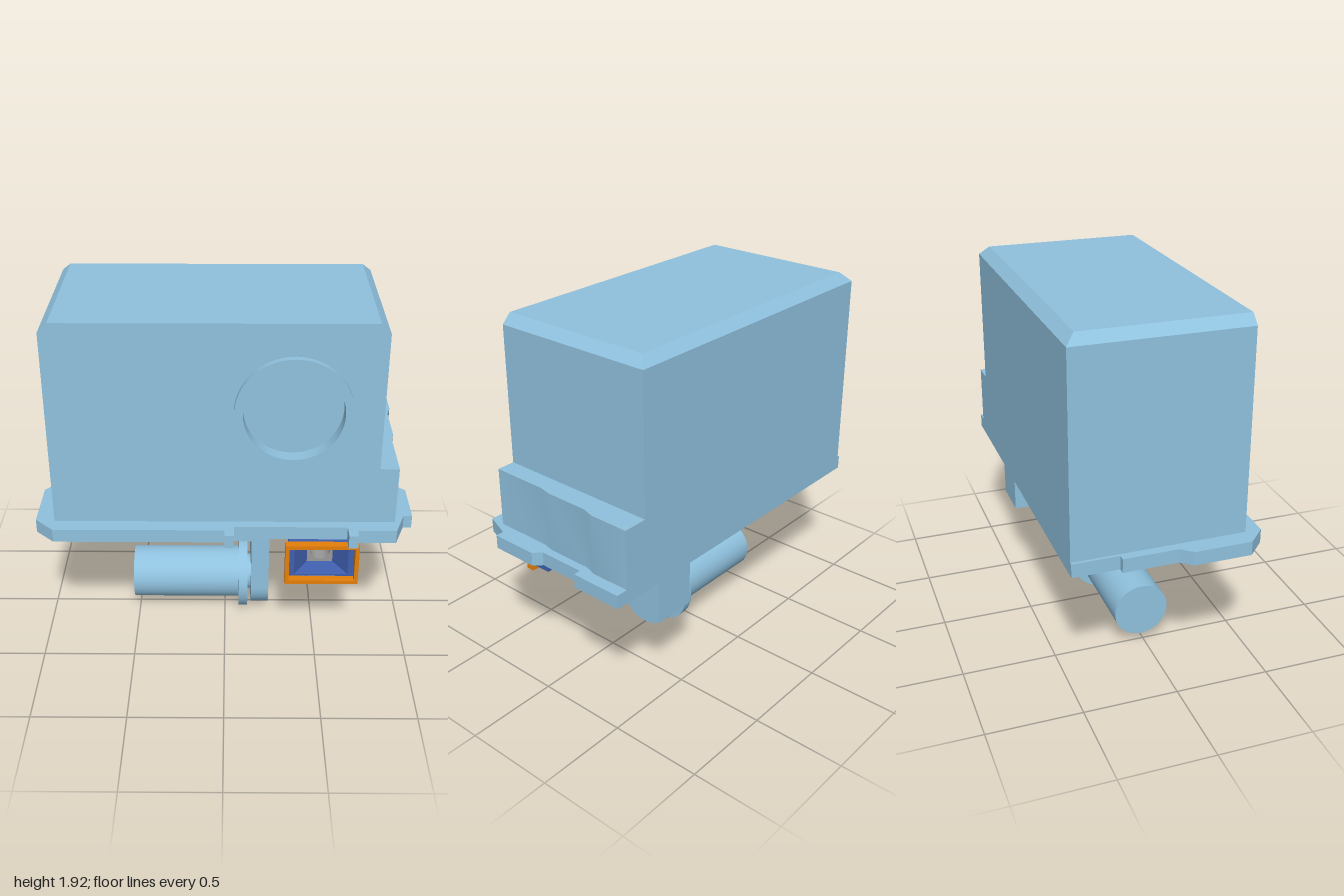
import * as THREE from 'three';
import { toCreasedNormals } from 'three/addons/utils/BufferGeometryUtils.js';

const mat = (color) => new THREE.MeshStandardMaterial({ color });

export function createModel() {
  const model = new THREE.Group();
  const shell = mat(0x8fc1de), blue = mat(0x3f5fae), orange = mat(0xe57f0a), grey = mat(0x999999);

  const add = (name, geometry, material = shell, parent = model) => {
    const mesh = new THREE.Mesh(geometry, material);
    mesh.name = name;
    parent.add(mesh);
    return mesh;
  };
  const shapeOf = (pts) => new THREE.Shape(pts.map(([x, y]) => new THREE.Vector2(x, y)));
  const extrude = (shape, depth) => toCreasedNormals(
    new THREE.ExtrudeGeometry(shape, { depth, bevelEnabled: false, curveSegments: 32 }), 0.5);
  // plan outline given as [x, z], raised from y0 to y1
  const plan = (pts, y0, y1) =>
    extrude(shapeOf(pts.map(([x, z]) => [x, -z])), y1 - y0).rotateX(-Math.PI / 2).translate(0, y0, 0);
  const box = (x0, x1, y0, y1, z0, z1) => new THREE.BoxGeometry(x1 - x0, y1 - y0, z1 - z0)
    .translate((x0 + x1) / 2, (y0 + y1) / 2, (z0 + z1) / 2);
  const rodX = (r, x0, x1, y, z) => new THREE.CylinderGeometry(r, r, x1 - x0, 48)
    .rotateZ(Math.PI / 2).translate((x0 + x1) / 2, y, z);
  const rodZ = (r, z0, z1, x, y) => new THREE.CylinderGeometry(r, r, z1 - z0, 48)
    .rotateX(Math.PI / 2).translate(x, y, (z0 + z1) / 2);
  // closed rectangular frame skinned through [halfWidth, halfHeight, z] sections
  const rectFrame = (sections, cx, cy) => {
    const corners = [[-1, -1], [1, -1], [1, 1], [-1, 1]];
    const pos = [], n = sections.length;
    const at = (i, k) => {
      const [w, h, z] = sections[i % n], [sx, sy] = corners[k % 4];
      return [cx + sx * w, cy + sy * h, z];
    };
    for (let i = 0; i < n; i++) for (let k = 0; k < 4; k++) {
      const a = at(i, k), b = at(i, k + 1), c = at(i + 1, k + 1), d = at(i + 1, k);
      pos.push(...a, ...b, ...c, ...a, ...c, ...d);
    }
    const g = new THREE.BufferGeometry();
    g.setAttribute('position', new THREE.Float32BufferAttribute(pos, 3));
    g.computeVertexNormals();
    return g;
  };

  // Housing: chamfered silhouette in three slabs, the front one with a round opening
  const X0 = -0.9, X1 = 0.8, TOP = 1.93, C = 0.05, BACK = -0.525, FRONT = 0.385;
  const RX = 0.347, RY = 1.46, RI = 0.255, FLOOR = 0.34;
  const silhouette = () => shapeOf([[X0, 0.8], [X1, 0.8], [X1, TOP - C], [X1 - C, TOP], [X0 + C, TOP], [X0, TOP - C]]);
  const housing = new THREE.Group();
  housing.name = 'housing';
  model.add(housing);
  const face = silhouette();
  face.holes.push(new THREE.Path().absarc(RX, RY, RI, 0, Math.PI * 2, true));
  add('housingFront', extrude(face, FRONT - FLOOR).translate(0, 0, FLOOR), shell, housing);
  add('housingCore', extrude(silhouette(), FLOOR - BACK - C).translate(0, 0, BACK + C), shell, housing);

  // Back slab: its rear top corners drop outward to form the rear chamfer
  const rear = new THREE.ExtrudeGeometry(silhouette(), { depth: C, bevelEnabled: false });
  const p = rear.attributes.position;
  for (let i = 0; i < p.count; i++) {
    if (p.getZ(i) < 1e-4 && p.getY(i) > TOP - C + 1e-4) {
      p.setY(i, TOP - C);
      p.setX(i, p.getX(i) > 0 ? X1 : X0);
    }
  }
  rear.computeVertexNormals();
  add('housingRear', rear.translate(0, 0, BACK), shell, housing);

  // Raised ring around the opening
  const ring = new THREE.Shape().absarc(RX, RY, 0.3, 0, Math.PI * 2);
  ring.holes.push(new THREE.Path().absarc(RX, RY, RI, 0, Math.PI * 2, true));
  add('windowRing', extrude(ring, 0.035).translate(0, 0, FRONT));

  // Lower side step
  add('sideStep', plan([[0.78, BACK], [0.935, BACK], [0.935, -0.31], [0.915, -0.24], [0.915, 0],
    [0.9, 0.07], [0.9, FRONT], [0.78, FRONT]], 0.8, 1.133));

  // Base plate with notched edges and two front tabs
  add('basePlate', plan([[-0.915, BACK], [-0.915, -0.28], [-0.95, -0.28], [-0.95, 0.01], [-1, 0.07],
    [-1, 0.375], [-0.9, 0.47], [0, 0.47], [0, 0.522], [0.05, 0.522], [0.05, 0.437], [0.647, 0.437],
    [0.647, 0.522], [0.697, 0.522], [0.697, 0.47], [0.9, 0.47], [0.955, 0.322], [1, 0.322], [1, 0.06],
    [0.96, 0.02], [0.96, -0.24], [1, -0.24], [1, BACK]], 0.735, 0.81));

  // Crank: rounded boss, hanging arm, flange and grip
  const AY = 0.205, AZ = -0.02, AR = 0.175;
  const boss = new THREE.Shape().moveTo(0.2, -AZ + AR).lineTo(-0.075, -AZ + AR)
    .absarc(-0.075, -AZ, AR, Math.PI / 2, Math.PI * 1.5).lineTo(0.2, -AZ - AR);
  add('crankBoss', extrude(boss, 0.21).rotateX(-Math.PI / 2).translate(0, 0.53, 0));
  const arm = new THREE.Shape().moveTo(-AZ - AR, 0.74).lineTo(-AZ - AR, AY)
    .absarc(-AZ, AY, AR, Math.PI, Math.PI * 2).lineTo(-AZ + AR, 0.74);
  add('crankArm', extrude(arm, 0.1).rotateY(Math.PI / 2).translate(0.15, 0, 0));
  add('crankPin', rodX(0.1, 0.12, 0.16, AY, AZ));
  add('gripFlange', rodX(0.2, 0.08, 0.13, AY, AZ));
  add('grip', rodX(0.148, -0.525, 0.09, AY, AZ));

  // Eyepiece: mount, rod, grey socket, blue hood and orange rim
  const EX = 0.523, EY = 0.558;
  add('eyepieceMount', box(0.4, 0.647, 0.437, 0.74, -0.47, -0.325));
  add('rodFlange', rodZ(0.1, -0.33, -0.275, EX, EY));
  add('rod', rodZ(0.05, -0.28, 0.2, EX, EY));
  const S = 0.075;
  const socket = shapeOf([[EX - S, EY - S], [EX + S, EY - S], [EX + S, EY + S], [EX - S, EY + S]]);
  socket.holes.push(new THREE.Path().absarc(EX, EY, 0.056, 0, Math.PI * 2, true));
  add('socket', extrude(socket, 0.15).translate(0, 0, 0.13), grey);
  add('hood', rectFrame([[0.178, 0.1, 0.28], [0.178, 0.1, 0.38], [0.145, 0.088, 0.38], [0.07, 0.072, 0.28]], EX, EY), blue);
  add('hoodRim', rectFrame([[0.198, 0.123, 0.38], [0.198, 0.123, 0.425], [0.176, 0.101, 0.425], [0.176, 0.101, 0.38]], EX, EY), orange);

  return model;
}
